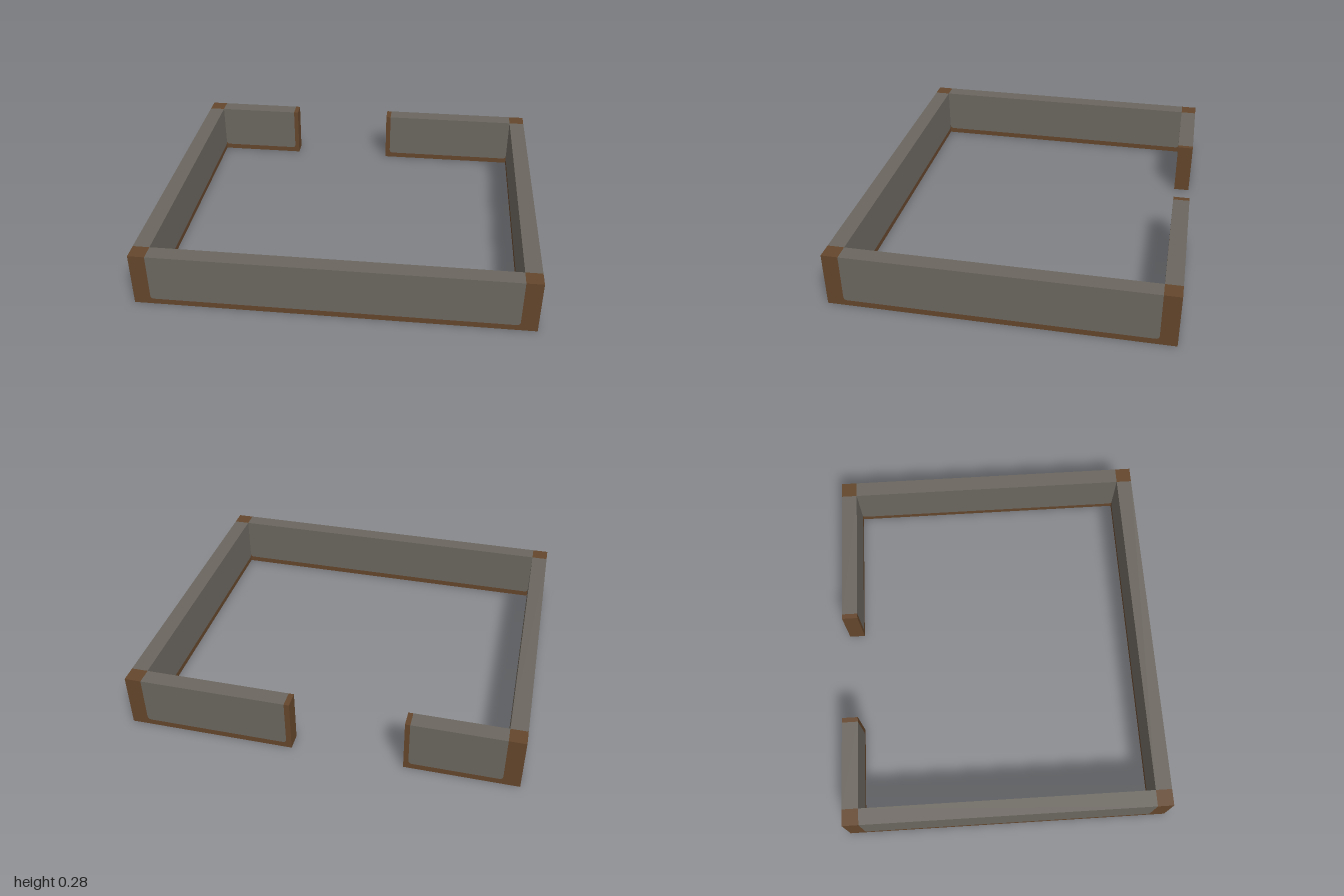
import * as THREE from 'three';

const H = 0.285;      // wall height
const T = 0.085;      // wall thickness
const RAIL = 0.03;    // height of the bottom rail
const R = 0.02;       // rounding of the panel's lower corners
const X = 1, Z = 0.855;

// Traces the panel's sides and bottom, from its upper right to its upper left
function tracePanel(shape, p0, p1) {
  shape.lineTo(p1, RAIL + R);
  shape.quadraticCurveTo(p1, RAIL, p1 - R, RAIL);
  shape.lineTo(p0 + R, RAIL);
  shape.quadraticCurveTo(p0, RAIL, p0, RAIL + R);
}

export function createModel() {
  const stone = new THREE.MeshStandardMaterial({ color: 0x6b665f });
  stone.name = 'greyStone';
  const wood = new THREE.MeshStandardMaterial({ color: 0x64462c });
  wood.name = 'brownWood';

  const model = new THREE.Group();
  model.name = 'foundationWalls';

  const extrude = (shape, material, name) => {
    const geometry = new THREE.ExtrudeGeometry(shape, { depth: T, bevelEnabled: false, curveSegments: 4 });
    geometry.translate(0, 0, -T / 2);
    const mesh = new THREE.Mesh(geometry, material);
    mesh.name = name;
    return mesh;
  };

  // A wall from a to b, with a grey panel from p0 to p1 set in a brown frame
  function wall(name, a, b, p0, p1) {
    const frame = new THREE.Shape();
    frame.moveTo(a, 0);
    frame.lineTo(b, 0);
    if (b > p1) {
      frame.lineTo(b, H);
      frame.lineTo(p1, H);
    }
    tracePanel(frame, p0, p1);
    if (a < p0) {
      frame.lineTo(p0, H);
      frame.lineTo(a, H);
    }
    frame.closePath();

    const panel = new THREE.Shape();
    panel.moveTo(p1, H);
    tracePanel(panel, p0, p1);
    panel.lineTo(p0, H);
    panel.closePath();

    const group = new THREE.Group();
    group.name = name;
    group.add(extrude(frame, wood, name + 'Frame'), extrude(panel, stone, name + 'Panel'));
    model.add(group);
    return group;
  }

  // Front wall with both corner posts
  wall('frontWall', -X, X, -X + T, X - T).position.z = Z - T / 2;

  // Back wall, split by the doorway
  wall('backWallRight', -X, -0.43, -X + T, -0.455).position.z = -Z + T / 2;
  wall('backWallLeft', 0.14, X, 0.167, X - T).position.z = -Z + T / 2;

  // Side walls between the corner posts
  for (const [name, side] of [['leftWall', 1], ['rightWall', -1]]) {
    const group = wall(name, -Z + T, Z - T, -Z + T, Z - T);
    group.rotation.y = Math.PI / 2;
    group.position.x = side * (X - T / 2);
  }
  return model;
}
